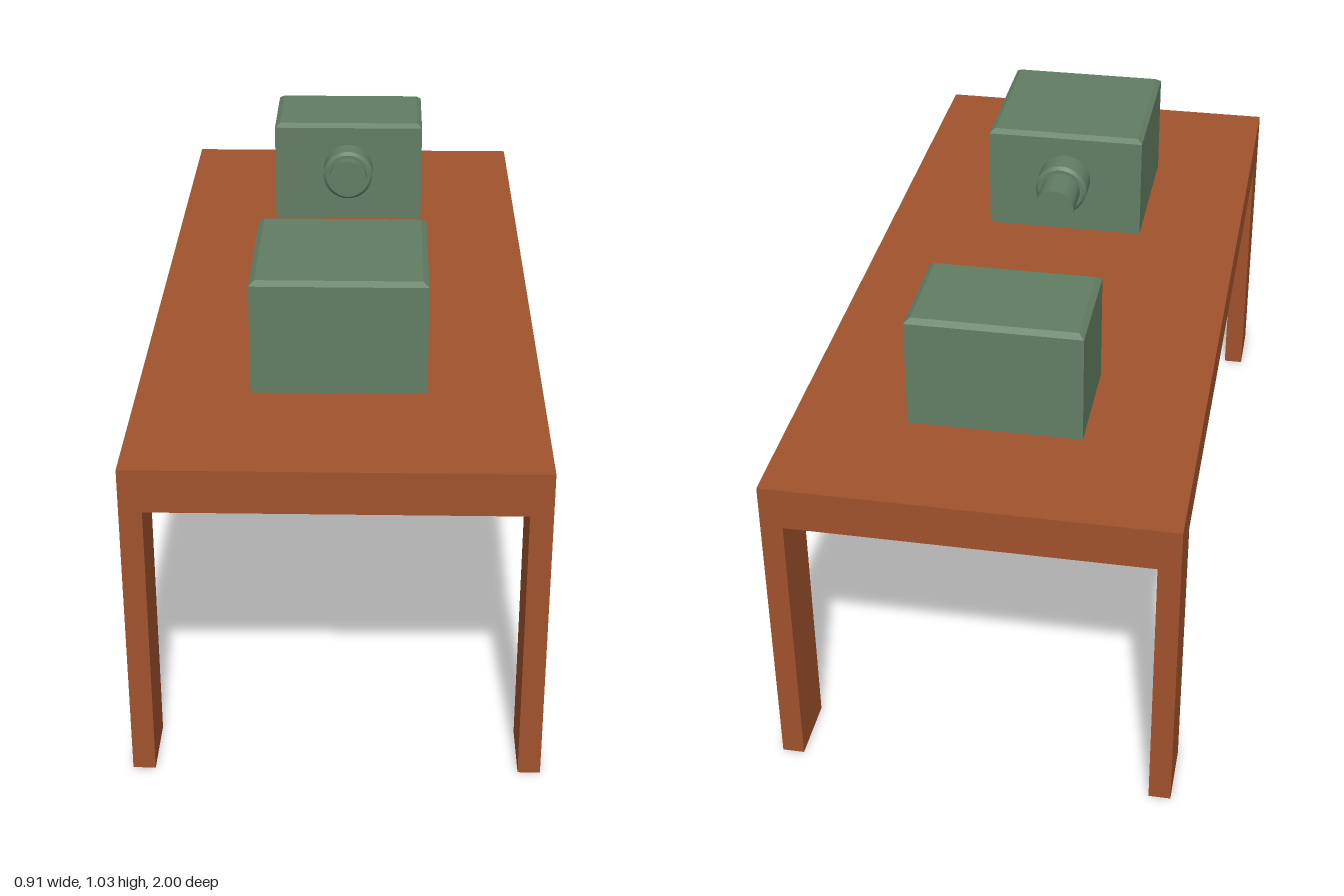
import * as THREE from 'three';
import { toCreasedNormals } from 'three/addons/utils/BufferGeometryUtils.js';

export function createModel() {
  const model = new THREE.Group();
  const wood = new THREE.MeshStandardMaterial({ name: 'sienna wood', color: 0xa0522d });
  const green = new THREE.MeshStandardMaterial({ name: 'sage green', color: 0x627d63 });

  const add = (parent, name, geometry, material, x, y, z) => {
    const mesh = new THREE.Mesh(geometry, material);
    mesh.name = name;
    mesh.position.set(x, y, z);
    parent.add(mesh);
    return mesh;
  };

  // Table: slab and four legs flush with its corners
  const table = new THREE.Group();
  table.name = 'table';
  model.add(table);
  add(table, 'tableTop', new THREE.BoxGeometry(0.91, 0.1, 2), wood, 0, 0.71, 0);
  for (const x of [-1, 1]) {
    for (const z of [-1, 1]) {
      add(table, 'leg', new THREE.BoxGeometry(0.05, 0.66, 0.15), wood, x * 0.43, 0.33, z * 0.925);
    }
  }

  // Box whose top edge is chamfered: the top vertices of a frustum strip move inward
  function lidGeometry(width, height, depth, inset) {
    const geometry = new THREE.BoxGeometry(width, height, depth);
    const p = geometry.attributes.position;
    for (let i = 0; i < p.count; i++) {
      if (p.getY(i) > 0) {
        p.setX(i, p.getX(i) - Math.sign(p.getX(i)) * inset);
        p.setZ(i, p.getZ(i) - Math.sign(p.getZ(i)) * inset);
      }
    }
    return toCreasedNormals(geometry, 0.3);
  }

  // Stepped barrel: wide collar with a chamfered lip, then a narrow tube
  function barrelGeometry(collar, length) {
    const profile = [
      [0, 0], [0.066, 0], [0.066, collar - 0.008], [0.058, collar],
      [0.05, collar], [0.05, length], [0, length],
    ].map(([r, y]) => new THREE.Vector2(r, y));
    return toCreasedNormals(new THREE.LatheGeometry(profile, 32), 0.5);
  }

  // Housing with a barrel; facing is the z direction of the barrel
  function addDevice(name, z, depth, facing, collar, length) {
    const device = new THREE.Group();
    device.name = name;
    device.position.set(-0.002, 0.76, z);
    model.add(device);
    add(device, 'housing', new THREE.BoxGeometry(0.396, 0.258, depth), green, 0, 0.129, 0);
    add(device, 'lid', lidGeometry(0.396, 0.01, depth, 0.013), green, 0, 0.263, 0);
    const barrel = add(device, 'barrel', barrelGeometry(collar, length), green, 0, 0.145, facing * depth / 2);
    barrel.rotation.x = facing * Math.PI / 2;
  }

  addDevice('frontDevice', 0.438, 0.396, -1, 0.07, 0.17);
  addDevice('backDevice', -0.573, 0.265, 1, 0.065, 0.09);
  return model;
}
